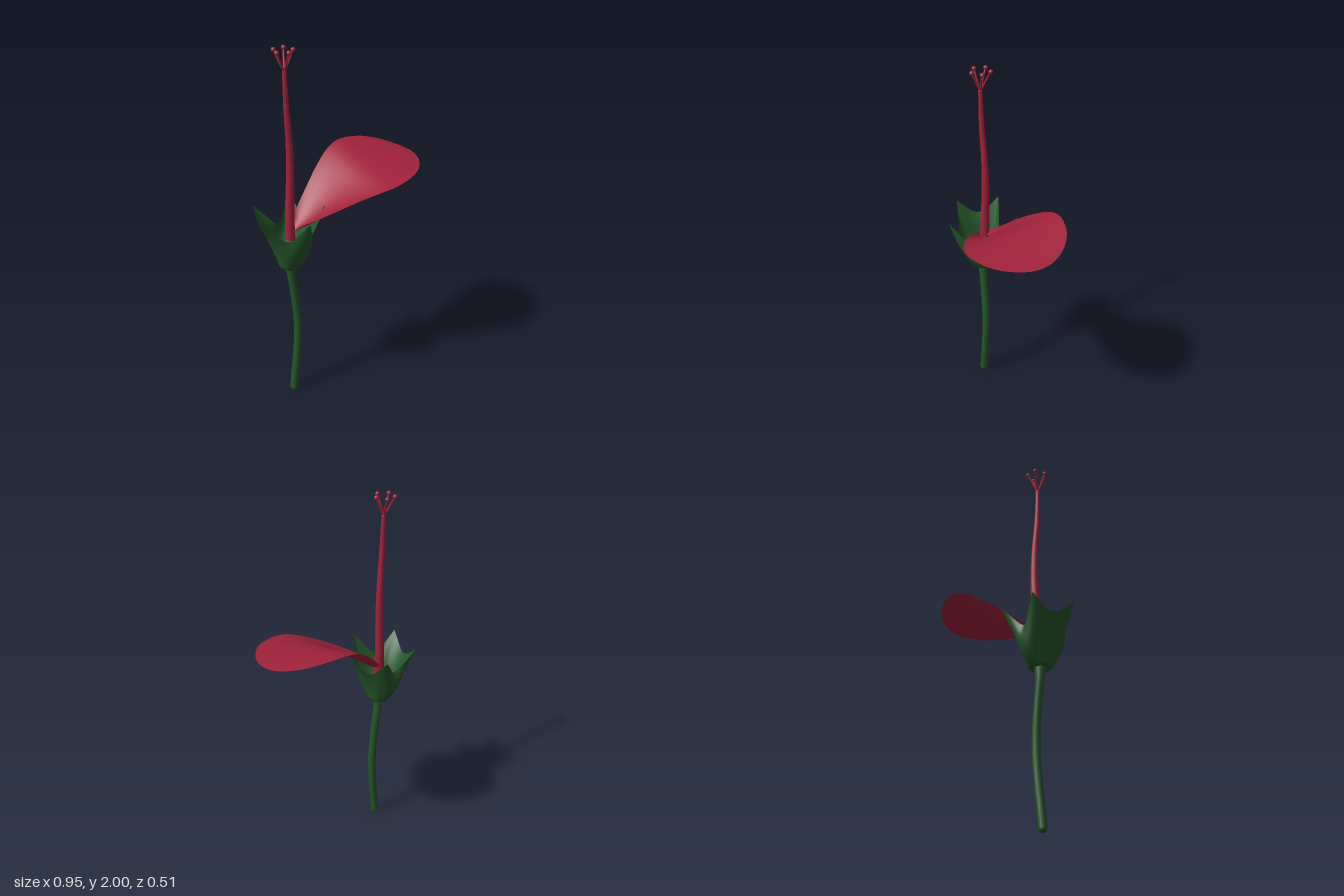
import * as THREE from 'three';

const V = (x, y, z) => new THREE.Vector3(x, y, z);
const CX = -0.287, CZ = -0.057; // flower axis

const green = new THREE.MeshStandardMaterial({ color: 0x225527 });
green.name = 'leaf green';
green.side = THREE.DoubleSide;
const red = new THREE.MeshStandardMaterial({ color: 0xa0223a });
red.name = 'petal red';
red.side = THREE.DoubleSide;

// Surface from a grid of points; f(i, j) returns a Vector3
function grid(rows, cols, wrap, f) {
  const pos = [], idx = [], n = wrap ? cols : cols + 1;
  for (let i = 0; i <= rows; i++)
    for (let j = 0; j < n; j++) pos.push(...f(i, j).toArray());
  for (let i = 0; i < rows; i++)
    for (let j = 0; j < cols; j++) {
      const k = (j + 1) % n;
      const a = i * n + j, b = i * n + k, c = a + n, d = b + n;
      idx.push(a, b, c, b, d, c);
    }
  const g = new THREE.BufferGeometry();
  g.setAttribute('position', new THREE.Float32BufferAttribute(pos, 3));
  g.setIndex(idx);
  g.computeVertexNormals();
  return g;
}

// Tube whose radius changes along its length
function taperedTube(points, radius, segs, sides) {
  const curve = new THREE.CatmullRomCurve3(points);
  const g = new THREE.TubeGeometry(curve, segs, 1, sides);
  const p = g.attributes.position, v = V(0, 0, 0);
  for (let i = 0; i < p.count; i++) {
    const t = Math.floor(i / (sides + 1)) / segs, c = curve.getPointAt(t);
    v.fromBufferAttribute(p, i).sub(c).multiplyScalar(radius(t)).add(c);
    p.setXYZ(i, v.x, v.y, v.z);
  }
  return g;
}

export function createModel() {
  const model = new THREE.Group();
  model.name = 'flower';
  const add = (name, geo, mat, at) => {
    const m = new THREE.Mesh(geo, mat);
    m.name = name;
    if (at) m.position.copy(at);
    model.add(m);
    return m;
  };

  // Stem: gentle bow, slightly wider under the calyx
  const stemPath = [[-0.285, 0.022], [-0.277, 0.1], [-0.262, 0.22], [-0.25, 0.36], [-0.251, 0.5],
    [-0.266, 0.65], [-0.281, 0.76], [CX, 0.84]].map(([x, y]) => V(x, y, CZ));
  add('stem', taperedTube(stemPath, t => 0.022 + 0.009 * THREE.MathUtils.smoothstep(t, 0.9, 1), 40, 16), green);
  add('stemEnd', new THREE.SphereGeometry(0.022, 16, 10), green, stemPath[0]);

  // Calyx: a cup that opens into five pointed sepals
  const N = 80, per = N / 5, ROWS = 16;
  const valleyR = [0.13, 0.13, 0.108, 0.15, 0.13];
  const valleyY = [1.04, 1.04, 1.03, 1.07, 1.04];
  add('calyx', grid(ROWS + 1, N, true, (i, j) => {
    const a = j / N * Math.PI * 2; // 0 is the front, turning to +x
    const d = (j % per) / per;
    const near = Math.min(d, 1 - d) * 2;
    const peak = Math.pow(1 - near, 1.9), k = Math.floor(j / per);
    const rimR = THREE.MathUtils.lerp(valleyR[k], 0.198, peak);
    const rimY = THREE.MathUtils.lerp(valleyY[k], 1.152, peak);
    const v = Math.max(0, i - 1) / ROWS;
    const belly = THREE.MathUtils.lerp(0.068, 0.155, Math.cos(a) ** 2);
    const r = i === 0 ? 0.02
      : 0.057 * (1 - v) ** 2 + 2 * belly * v * (1 - v) + rimR * v * v;
    const y = THREE.MathUtils.lerp(0.826, rimY, v);
    return V(CX + Math.sin(a) * r, y, CZ + Math.cos(a) * r);
  }), green);

  // Petal: back edge, folded midline and front edge run from base to tip
  const rows = [ // x, back z, back y, front z, front y, fold depth
    [-0.275, -0.07, 1.015, -0.045, 1.015, 0.005],
    [-0.25, -0.09, 1.06, -0.005, 1.065, 0.03],
    [-0.2, -0.12, 1.105, 0.05, 1.105, 0.042],
    [-0.1, -0.165, 1.195, 0.125, 1.168, 0.04],
    [0, -0.21, 1.275, 0.185, 1.22, 0.03],
    [0.1, -0.247, 1.337, 0.237, 1.26, 0.016],
    [0.18, -0.257, 1.362, 0.252, 1.276, 0.01],
    [0.3, -0.228, 1.36, 0.227, 1.291, 0.006],
    [0.38, -0.178, 1.343, 0.178, 1.298, 0.003],
    [0.44, -0.105, 1.325, 0.105, 1.303, 0.001],
    [0.465, -0.045, 1.314, 0.045, 1.306, 0],
    [0.472, 0, 1.31, 0, 1.31, 0]];
  const back = new THREE.CatmullRomCurve3(rows.map(r => V(r[0], r[2], r[1])), false, 'centripetal');
  const front = new THREE.CatmullRomCurve3(rows.map(r => V(r[0], r[4], r[3])), false, 'centripetal');
  const fold = new THREE.CatmullRomCurve3(rows.map(r => V(r[0], r[5], 0)));
  const PR = 44, PC = 16;
  add('petal', grid(PR, PC, false, (i, j) => {
    const t = i / PR, s = j / PC;
    const p = front.getPoint(t).lerp(back.getPoint(t), s);
    p.y -= fold.getPoint(t).y * 4 * s * (1 - s);
    return p;
  }), red);

  // Central column, thinning towards the top
  const crown = V(-0.286, 1.885, -0.056);
  const column = [V(-0.277, 0.98, -0.064), V(-0.273, 1.12, -0.068), V(-0.263, 1.35, -0.068),
    V(-0.266, 1.52, -0.064), V(-0.28, 1.7, -0.058), crown];
  add('column', taperedTube(column, t => 0.027 - 0.016 * t, 40, 14), red);
  add('columnTop', new THREE.SphereGeometry(0.0115, 12, 8), red, crown);

  // Five filaments with round tips
  for (let k = 0; k < 5; k++) {
    const a = k / 5 * Math.PI * 2;
    const dx = Math.sin(a), dz = Math.cos(a);
    const tip = V(CX + dx * 0.048, 1.988, -0.06 + dz * 0.05);
    const mid = V(CX + dx * 0.02, 1.925, CZ + dz * 0.02);
    add('filament', taperedTube([crown, mid, tip], t => 0.0065 - 0.002 * t, 8, 8), red);
    add('filamentTip', new THREE.SphereGeometry(0.012, 14, 10), red, tip);
  }
  return model;
}
